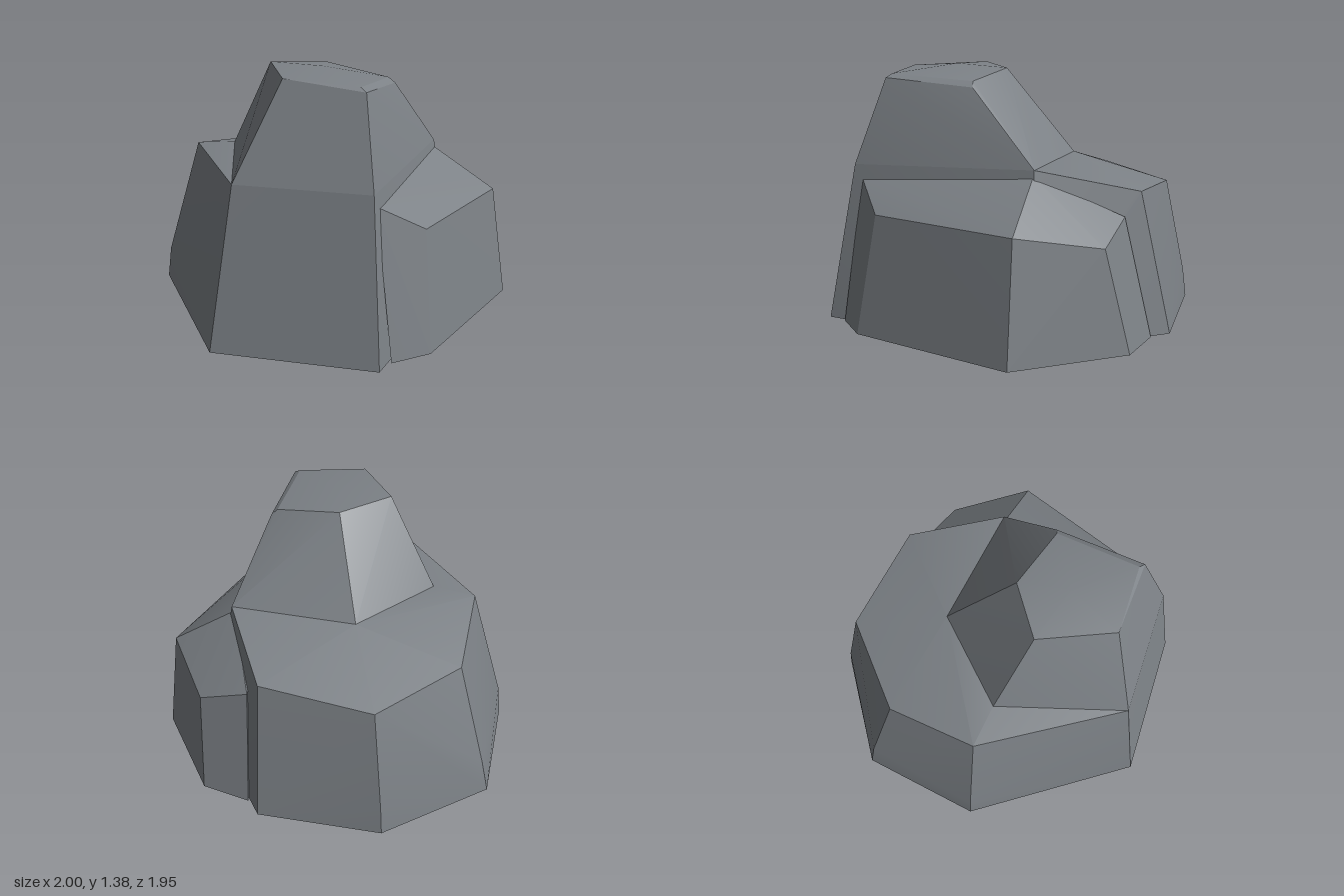
import * as THREE from 'three';
import { ConvexGeometry } from 'three/addons/geometries/ConvexGeometry.js';
import { toCreasedNormals } from 'three/addons/utils/BufferGeometryUtils.js';

const stone = new THREE.MeshStandardMaterial({ color: 0x7c8186 });
stone.name = 'greyStone';

// Faceted chunk of rock around corner points; only nearly flat joins are smoothed
function chunk(name, corners) {
  const hull = new ConvexGeometry(corners.map((c) => new THREE.Vector3(...c)));
  const mesh = new THREE.Mesh(toCreasedNormals(hull, 0.3), stone);
  mesh.name = name;
  return mesh;
}

export function createModel() {
  const group = new THREE.Group();
  group.name = 'rock';

  // Shoulder corners where the upper crag grows out of the body
  const shoulder = [
    [-0.82, 0.85, 0.08], [-0.26, 0.88, -0.39], [0.28, 0.875, -0.17],
    [0.45, 0.88, 0.51], [-0.55, 0.85, 0.74],
  ];

  // Wide body with a sloping plateau at the back
  group.add(chunk('body', [
    [-1, 0, 0.06], [-0.43, 0, -0.81], [0.25, 0, -0.98], [0.81, 0, -0.6],
    [1, 0, 0.05], [0.55, 0, 0.66], [-0.66, 0, 0.86],
    [-0.42, 0.18, -0.79], [0.245, 0.18, -0.935], [0.795, 0.16, -0.585],
    [-0.32, 0.85, -0.62], [0.19, 0.73, -0.75], [0.71, 0.7, -0.5], [0.84, 0.75, 0.1],
    ...shoulder,
  ]));

  // Tapered crag with a bevelled, slightly domed top
  group.add(chunk('crag', [
    ...shoulder,
    [-0.28, 1.37, -0.1], [-0.01, 1.35, 0.08], [0.05, 1.27, 0.48],
    [-0.43, 1.31, 0.61], [-0.57, 1.355, 0.21], [-0.25, 1.375, 0.22],
    [0.03, 1.3, 0.45], [-0.42, 1.33, 0.57],
  ]));

  // Low ledge wrapped round the front and one corner
  group.add(chunk('ledge', [
    [-0.55, 0, 0.86], [-0.35, 0, 0.97], [0.58, 0, 0.94], [0.96, 0, 0.43], [0.94, 0, 0.15],
    [-0.28, 0.63, 0.88], [0.55, 0.62, 0.85], [0.84, 0.53, 0.48], [0.8, 0.63, 0.2],
    [0.44, 0.85, 0.5], [-0.51, 0.78, 0.73],
  ]));

  return group;
}
